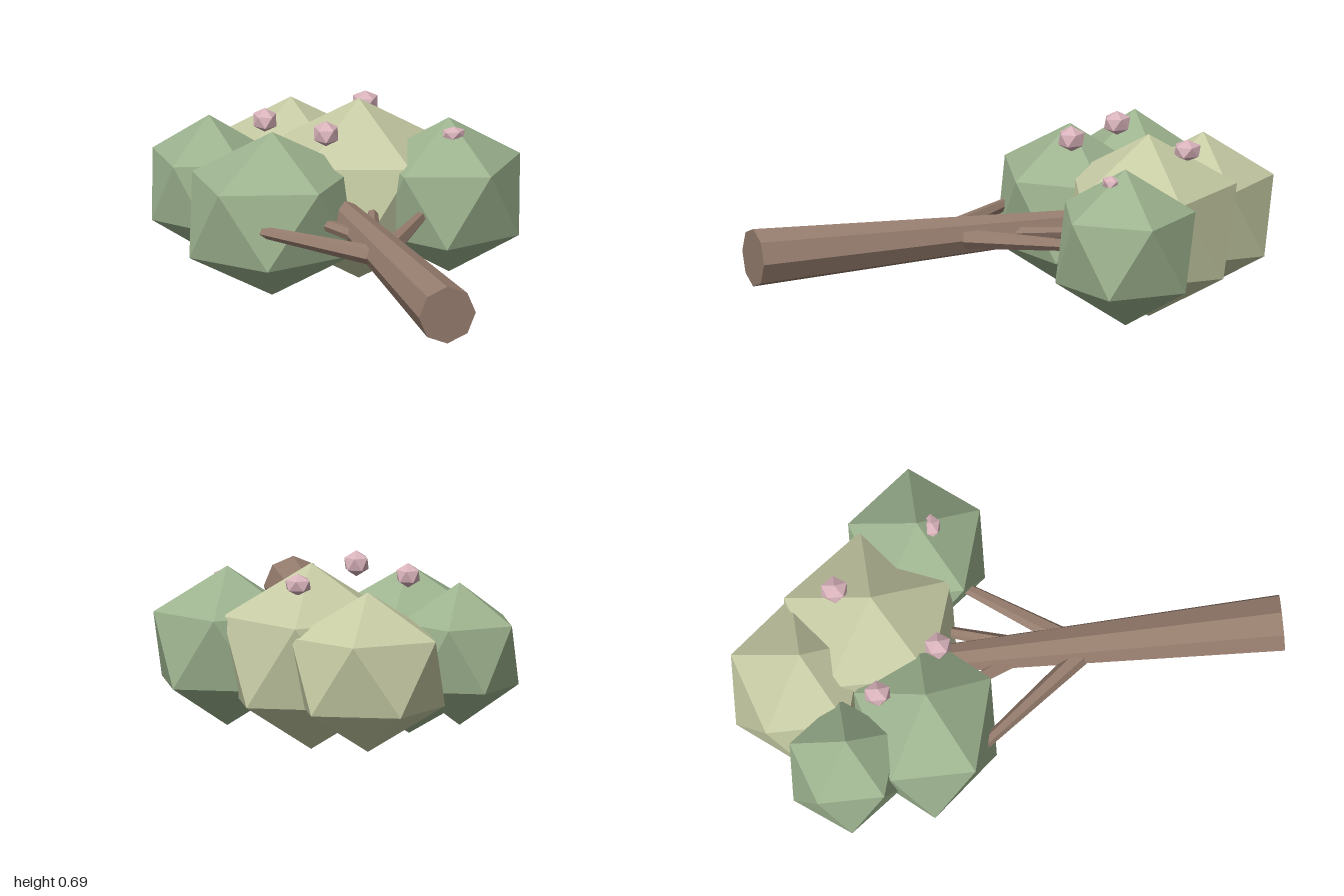
import * as THREE from 'three';
import { ConvexGeometry } from 'three/addons/geometries/ConvexGeometry.js';

const mat = (color) => new THREE.MeshStandardMaterial({ color, flatShading: true });

// Twenty-sided ball with its poles on y, stretched to the given radii
function ballGeometry(rx, ry, rz) {
  const pts = [new THREE.Vector3(0, ry, 0), new THREE.Vector3(0, -ry, 0)];
  const h = 1 / Math.sqrt(5), w = 2 * h;
  for (let i = 0; i < 10; i++) {
    const a = (i * Math.PI) / 5;
    pts.push(new THREE.Vector3(w * rx * Math.cos(a), (i % 2 ? -h : h) * ry, w * rz * Math.sin(a)));
  }
  return new ConvexGeometry(pts);
}

// Tapered limb running from one point to another
function limb(name, from, to, r0, r1, sides, material) {
  const a = new THREE.Vector3(...from), b = new THREE.Vector3(...to);
  const dir = b.clone().sub(a);
  const mesh = new THREE.Mesh(new THREE.CylinderGeometry(r1, r0, dir.length(), sides), material);
  mesh.position.copy(a).add(b).multiplyScalar(0.5);
  mesh.quaternion.setFromUnitVectors(new THREE.Vector3(0, 1, 0), dir.normalize());
  mesh.name = name;
  return mesh;
}

export function createModel() {
  const tree = new THREE.Group();
  tree.name = 'tree';
  const bark = mat(0x967d6e), green = mat(0x9db38f), pale = mat(0xc6cba4), pink = mat(0xd9b3bb);

  // Trunk lies along z with its foot at the front
  tree.add(limb('trunk', [-0.045, 0.338, 1], [-0.045, 0.338, -0.42], 0.108, 0.045, 8, bark));

  // Branches fan out into the crown
  const branches = [
    ['rightLowerBranch', [-0.06, 0.338, 0.3], [-0.395, 0.338, -0.13], 0.038, 0.021],
    ['leftLowerBranch', [-0.02, 0.338, 0.22], [0.212, 0.338, -0.115], 0.038, 0.021],
    ['rightUpperBranch', [-0.07, 0.338, 0.04], [-0.2, 0.338, -0.26], 0.028, 0.018],
    ['leftUpperBranch', [-0.02, 0.338, 0.04], [0.08, 0.338, -0.28], 0.028, 0.018],
  ];
  for (const [name, from, to, r0, r1] of branches) tree.add(limb(name, from, to, r0, r1, 6, bark));

  // Leaf clumps and blossoms: name, centre, radii, material
  const balls = [
    ['rightFoliage', [-0.286, 0.335, -0.325], [0.352, 0.31, 0.293], green],
    ['leftFoliage', [0.372, 0.355, -0.283], [0.302, 0.293, 0.282], green],
    ['backRightFoliage', [-0.428, 0.367, -0.632], [0.242, 0.262, 0.231], green],
    ['middleFoliage', [0.093, 0.345, -0.482], [0.362, 0.342, 0.358], pale],
    ['backFoliage', [-0.076, 0.33, -0.76], [0.315, 0.293, 0.282], pale],
    ['blossom', [-0.259, 0.635, -0.497], [0.048, 0.045, 0.054], pink],
    ['blossom', [0.158, 0.63, -0.607], [0.052, 0.04, 0.055], pink],
    ['blossom', [-0.103, 0.641, -0.259], [0.05, 0.048, 0.054], pink],
    ['blossom', [0.372, 0.603, -0.229], [0.047, 0.026, 0.036], pink],
  ];
  for (const [name, centre, radii, material] of balls) {
    const ball = new THREE.Mesh(ballGeometry(...radii), material);
    ball.position.set(...centre);
    ball.name = name;
    tree.add(ball);
  }
  return tree;
}
